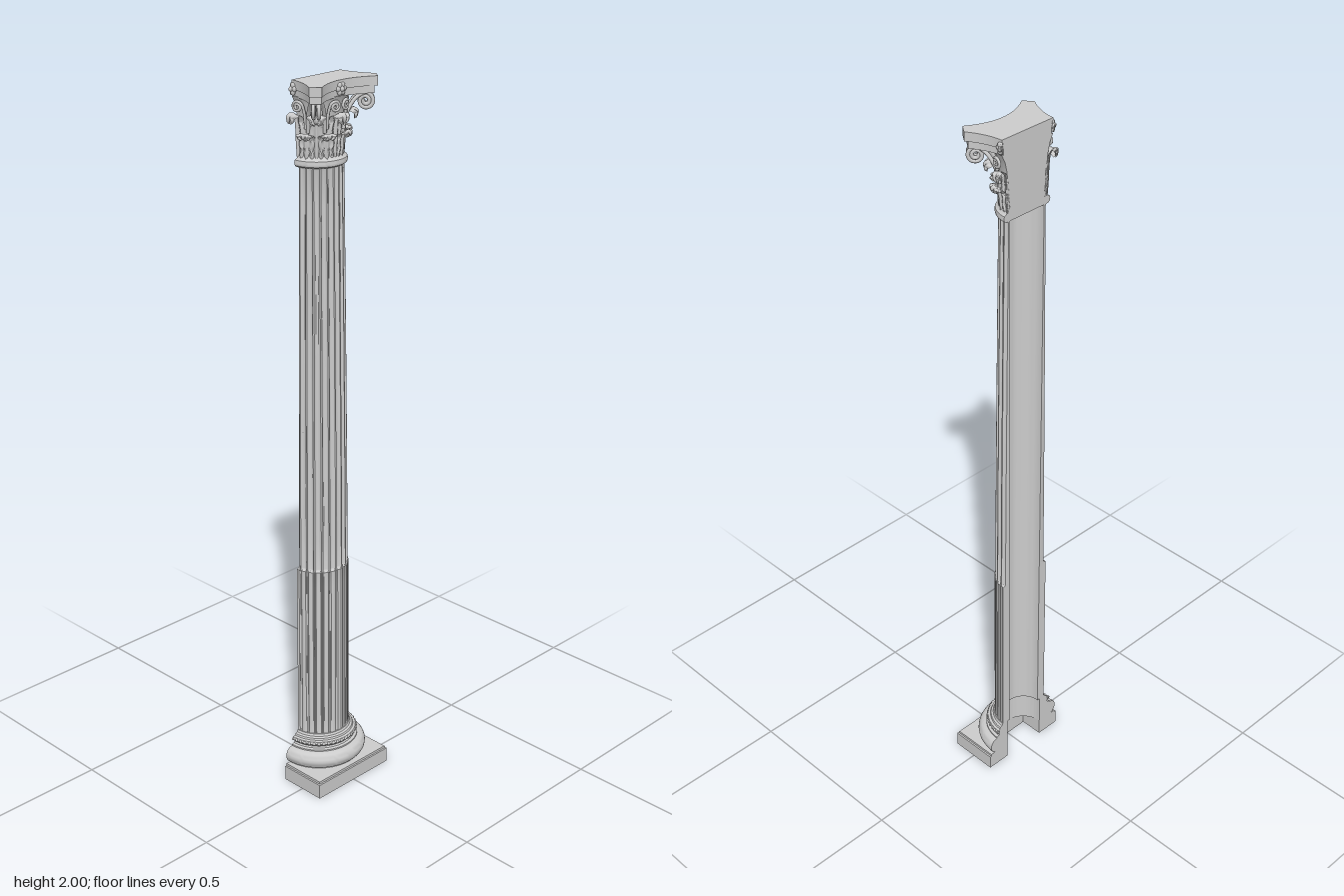
import * as THREE from 'three';
import { toCreasedNormals, mergeGeometries } from 'three/addons/utils/BufferGeometryUtils.js';
import { ParametricGeometry } from 'three/addons/geometries/ParametricGeometry.js';

// Half column: built around the axis x = z = 0, cut flat at z = 0, then moved back
const material = new THREE.MeshStandardMaterial({ color: 0xcccccc });
const thin = new THREE.MeshStandardMaterial({ color: 0xcccccc, side: THREE.DoubleSide });
const { lerp, clamp } = THREE.MathUtils;
const V2 = (p) => new THREE.Vector2(p[0], p[1]);
const polar = (angle, r, y) => new THREE.Vector3(r * Math.cos(angle), y, r * Math.sin(angle));

function add(group, name, geometry, mat = material) {
  const mesh = new THREE.Mesh(geometry, mat);
  mesh.name = name;
  group.add(mesh);
}

// Move every vertex by a rule
function reshape(geometry, rule) {
  const pos = geometry.attributes.position;
  const v = new THREE.Vector3();
  for (let i = 0; i < pos.count; i++) {
    rule(v.fromBufferAttribute(pos, i));
    pos.setXYZ(i, v.x, v.y, v.z);
  }
  return geometry;
}

// Flatten whatever crosses the cut plane onto it
const clip = (geometry) => reshape(geometry, (v) => { v.z = Math.max(v.z, 0); });

// Closed (r, y) profile turned through half a circle, with flat faces on the cut
function halfTurn(group, name, profile) {
  const pts = profile.map(V2);
  const lathe = new THREE.LatheGeometry([...pts, pts[0].clone()], 48, -Math.PI / 2, Math.PI);
  add(group, name, toCreasedNormals(lathe, 0.6));
  for (const s of [1, -1]) {
    const cap = new THREE.ShapeGeometry(new THREE.Shape(profile.map(([r, y]) => V2([s * r, y]))));
    add(group, name + 'CutFace', cap.rotateY(Math.PI));
  }
}

// Plan outline of (x, z) points raised from y0 to y1
function raise(points, y0, y1, steps = 1) {
  const shape = new THREE.Shape(points.map(([x, z]) => V2([x, -z])));
  const geometry = new THREE.ExtrudeGeometry(shape, { depth: y1 - y0, steps, bevelEnabled: false });
  return geometry.rotateX(-Math.PI / 2).translate(0, y0, 0);
}

// Half ring with flutes outside, one facing the front, and a round bore inside
const BORE = 0.058;
function shaft(y0, y1, r0, r1, depth, cabled) {
  const outline = [];
  for (let i = 0; i <= 120; i++) {
    const s = Math.abs(((i / 10 + 0.5) % 1) - 0.5) / 0.4;
    const arc = Math.sqrt(Math.max(0, 1 - s * s));
    const d = s > 1.01 ? 0 : depth * (cabled ? 1 - arc : arc);
    const a = (i / 120) * Math.PI;
    outline.push([(r0 - d) * Math.cos(a), (r0 - d) * Math.sin(a)]);
  }
  for (let i = 24; i >= 0; i--) {
    const a = (i / 24) * Math.PI;
    outline.push([BORE * Math.cos(a), BORE * Math.sin(a)]);
  }
  const geometry = reshape(raise(outline, y0, y1, 20), (v) => {
    // crowd the steps towards the ends, where the flutes close in a round
    let t = clamp((v.y - y0) / (y1 - y0), 0, 1);
    t = t < 0.2 ? t * 0.04 : t > 0.8 ? 1 - (1 - t) * 0.04 : lerp(0.008, 0.992, (t - 0.2) / 0.6);
    v.y = lerp(y0, y1, t);
    const r = Math.hypot(v.x, v.z);
    if (r < BORE + 0.001) return;
    const e = 1 - clamp(Math.min(t, 1 - t) / 0.008, 0, 1);
    const k = (lerp(r0, r1, Math.pow(t, 1.25)) - (r0 - r) * Math.sqrt(1 - e * e)) / r;
    v.x *= k;
    v.z *= k;
  });
  return toCreasedNormals(geometry, 0.55);
}

// Lobed leaf that follows the bell and curls out at its tip
function leaf(angle, y, height, halfWidth, reach) {
  const spine = new THREE.CatmullRomCurve3([
    [0.067, 0], [0.07, 0.35], [0.072, 0.7], [0.077, 0.92], [0.072 + reach * 0.6, 1],
    [0.072 + reach, 0.93], [0.07 + reach, 0.8],
  ].map(([r, h]) => new THREE.Vector3(r, y + h * height, 0)));
  return clip(new ParametricGeometry((u, v, target) => {
    const p = spine.getPoint(clamp(v, 0, 1));
    const s = u * 2 - 1;
    const lobes = 0.72 + 0.28 * Math.abs(Math.sin(v * Math.PI * 4.5 + 0.6));
    const width = halfWidth * lobes * Math.sqrt(Math.max(0.03, 1 - Math.pow(v, 4)));
    const relief = 0.003 * Math.cos(s * Math.PI * 3) - 0.003 * s * s;
    target.copy(polar(angle + (s * width) / 0.072, p.x + relief, p.y - 0.006 * s * s));
  }, 14, 28));
}

function tube(points, radius) {
  return clip(new THREE.TubeGeometry(new THREE.CatmullRomCurve3(points), 70, radius, 7));
}

// Spiral offsets: starts at the top, rolls outwards and winds inwards
function spiral(outer, inner, turns) {
  return Array.from({ length: 25 }, (_, i) => {
    const a = Math.PI / 2 - (i / 24) * turns * Math.PI * 2;
    const r = lerp(outer, inner, i / 24);
    return [r * Math.cos(a), r * Math.sin(a)];
  });
}

function buildBase(group) {
  // Plinth with a square notch at the back
  const plinth = (e) => [[0.067, 0], [0.137 - e, 0], [0.137 - e, 0.14 - e], [-0.137 + e, 0.14 - e],
    [-0.137 + e, 0], [-0.067, 0], [-0.067, 0.067], [0.067, 0.067]];
  add(group, 'plinth', raise(plinth(0), 0, 0.043));
  add(group, 'plinthEdge', raise(plinth(0.005), 0.043, 0.05));

  // Torus, scotia and upper torus
  const profile = [[0.067, 0.05], [0.118, 0.05]];
  for (let i = 1; i <= 9; i++) {
    const a = -Math.PI / 2 + (i / 10) * Math.PI;
    profile.push([0.11 + 0.022 * Math.cos(a), 0.075 + 0.025 * Math.sin(a)]);
  }
  profile.push([0.109, 0.1], [0.109, 0.104], [0.101, 0.106], [0.098, 0.11], [0.1, 0.114], [0.104, 0.116],
    [0.107, 0.121], [0.104, 0.127], [0.097, 0.129], [0.095, 0.134], [0.089, 0.137], [0.086, 0.143], [0.067, 0.143]);
  halfTurn(group, 'baseMoulding', profile);

  // Small ornaments around the upper torus
  const beads = [];
  for (let i = 0; i <= 24; i++) {
    const p = polar((i / 24) * Math.PI, 0.104, 0.121);
    beads.push(clip(new THREE.SphereGeometry(0.005, 8, 6).translate(p.x, p.y, p.z)));
  }
  add(group, 'baseBeads', mergeGeometries(beads));
}

function buildCapital(group) {
  // Astragal ring and solid bell
  halfTurn(group, 'bell', [[0, 1.78], [0.072, 1.78], [0.077, 1.784], [0.079, 1.791], [0.077, 1.798], [0.07, 1.802],
    [0.066, 1.808], [0.066, 1.87], [0.068, 1.91], [0.075, 1.94], [0.085, 1.96], [0, 1.96]]);

  // Two staggered rows of leaves
  for (let i = 0; i < 4; i++) {
    add(group, 'lowerLeaf', leaf(((i + 0.5) / 4) * Math.PI, 1.802, 0.068, 0.026, 0.02), thin);
  }
  for (let i = 0; i <= 4; i++) {
    add(group, 'upperLeaf', leaf((i / 4) * Math.PI, 1.805, 0.115, 0.024, 0.03), thin);
  }

  // Paired volutes under the abacus corners
  for (const corner of [Math.PI / 4, (3 * Math.PI) / 4]) {
    for (const side of [-1, 1]) {
      const stalk = [[0.3, 0.07, 1.87], [0.25, 0.08, 1.915], [0.14, 0.1, 1.947]]
        .map(([a, r, y]) => polar(corner + side * a, r, y));
      const roll = spiral(0.021, 0.004, 1.9).map(([r, y]) => polar(corner + side * 0.05, 0.122 + r, 1.936 + y));
      add(group, 'cornerVolute', tube([...stalk, ...roll], 0.0052));
    }
  }

  // Small scrolls and a flower at the middle of each face
  for (const face of [0, Math.PI / 2, Math.PI]) {
    for (const side of [-1, 1]) {
      if (Math.sin(face + side * 0.2) < 0) continue;
      const stalk = [[0.42, 0.074, 1.88], [0.4, 0.079, 1.92], [0.33, 0.085, 1.944]]
        .map(([a, r, y]) => polar(face + side * a, r, y));
      const roll = spiral(0.013, 0.003, 1.6).map(([x, y]) => polar(face + side * (0.21 - x / 0.085), 0.087, 1.936 + y));
      add(group, 'innerScroll', tube([...stalk, ...roll], 0.004));
    }
    const parts = [new THREE.SphereGeometry(0.007, 10, 8)];
    for (let i = 0; i < 6; i++) {
      const a = (i / 6) * Math.PI * 2;
      parts.push(new THREE.SphereGeometry(0.0075, 8, 6).scale(0.7, 1, 1)
        .translate(-0.003, 0.01 * Math.sin(a), 0.01 * Math.cos(a)));
    }
    const p = polar(face, 0.089, 1.978);
    add(group, 'faceFlower', clip(mergeGeometries(parts).rotateY(-face).translate(p.x, p.y, p.z)));
  }

  // Abacus with hollow sides and clipped corners, in two layers
  const plan = new THREE.Shape();
  plan.moveTo(0.085, 0);
  plan.quadraticCurveTo(0.086, 0.045, 0.117, 0.093);
  plan.lineTo(0.098, 0.118);
  plan.quadraticCurveTo(0, 0.053, -0.098, 0.118);
  plan.lineTo(-0.117, 0.093);
  plan.quadraticCurveTo(-0.086, 0.045, -0.085, 0);
  const outline = plan.getPoints(14).map((p) => [p.x, p.y]);
  const smaller = outline.map(([x, z]) => [x * 0.94, z * 0.94]);
  add(group, 'abacusLower', toCreasedNormals(raise(smaller, 1.957, 1.976), 0.5));
  add(group, 'abacusUpper', toCreasedNormals(raise(outline, 1.976, 2), 0.5));
}

export function createModel() {
  const model = new THREE.Group();
  model.name = 'halfColumn';
  const column = new THREE.Group();
  column.name = 'column';
  column.position.z = -0.07;
  model.add(column);

  buildBase(column);
  add(column, 'lowerShaft', shaft(0.14, 0.655, 0.084, 0.083, 0.004, true));
  add(column, 'upperShaft', shaft(0.655, 1.782, 0.081, 0.07, 0.007, false));
  buildCapital(column);
  return model;
}
